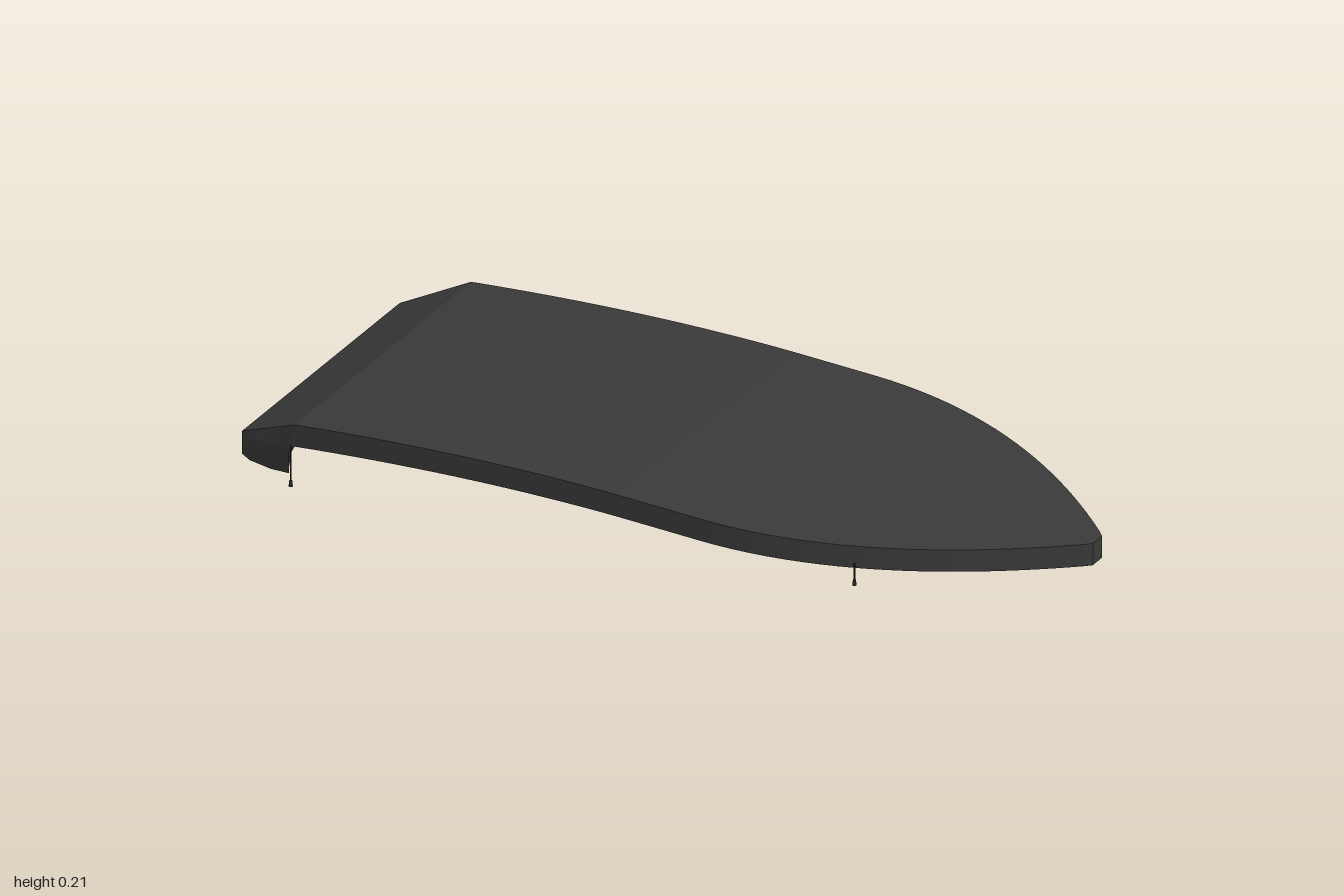
import * as THREE from 'three';

const cover = new THREE.MeshStandardMaterial({ color: 0x3a3a3a, side: THREE.DoubleSide });
cover.name = 'charcoal canvas';
const cord = new THREE.MeshStandardMaterial({ color: 0x262626 });
cord.name = 'dark cord';

const BREAK = -0.84; // where the deck folds down to the stern

// Height of the cover along its length
function topY(x) {
  if (x < BREAK) return 0.075 + 0.08 * (x + 1) / (BREAK + 1);
  return x < 0 ? 0.214 - 0.059 * Math.pow(-x / -BREAK, 1.8) : 0.214 - 0.007 * x * x;
}

// Half width of the cover along its length
function halfWidth(x) {
  if (x < BREAK) return 0.34 + 0.04 * (x + 1) / (BREAK + 1);
  if (x < 0.2) return 0.38;
  if (x <= 0.985) return 0.38 - 0.345 * Math.pow((x - 0.2) / 0.785, 2);
  return 0.035 - (x - 0.985);
}

// Surface between two rows of points
function strip(a, b) {
  const points = [], index = [];
  a.forEach((p, i) => {
    points.push(...p, ...b[i]);
    if (i) {
      const k = 2 * i - 2;
      index.push(k, k + 1, k + 2, k + 1, k + 3, k + 2);
    }
  });
  const g = new THREE.BufferGeometry();
  g.setAttribute('position', new THREE.Float32BufferAttribute(points, 3));
  g.setIndex(index);
  g.computeVertexNormals();
  return g;
}

export function createModel() {
  const group = new THREE.Group();
  const add = (name, geometry, material) => {
    const m = new THREE.Mesh(geometry, material);
    m.name = name;
    group.add(m);
  };

  // Stations along the main deck, closer together toward the bow
  const xs = [];
  for (let i = 0; i <= 20; i++) xs.push(BREAK + (0.2 - BREAK) * i / 20);
  for (let i = 1; i <= 30; i++) xs.push(0.2 + 0.785 * Math.sin(i / 30 * Math.PI / 2));
  xs.push(1);

  const edge = (list, s) => list.map(x => [x, topY(x), s * halfWidth(x)]);
  const lowered = row => row.map(([x, y, z]) => [x, y - 0.055, z]);

  // Top panels
  add('deckCover', strip(edge(xs, -1), edge(xs, 1)), cover);
  add('sternSlope', strip(edge([-1, BREAK], -1), edge([-1, BREAK], 1)), cover);

  // Stern panel
  add('sternPanel', strip([[-1, 0.075, -0.34], [-1, 0.075, 0.34]],
    [[-1, 0.018, -0.34], [-1, 0.018, 0.34]]), cover);

  // Bow end of the skirt
  const tip = [[1, topY(1), 0.02], [1, topY(1), -0.02]];
  add('bowSkirt', strip(tip, lowered(tip)), cover);

  for (const s of [1, -1]) {
    const side = s > 0 ? 'left' : 'right';
    const outward = (a, b) => s > 0 ? strip(a, b) : strip(b, a);

    // Long side skirt
    const row = edge(xs, s);
    add(side + 'Skirt', outward(row, lowered(row)), cover);

    // Corner flap, bulging past the slope in its middle
    const fx = [-1, -0.97, -0.91, -0.863, -0.855, -0.848, BREAK];
    const upper = edge(fx, s);
    const midZ = [0.34, 0.357, 0.369, 0.379, 0.381, 0.381, 0.38];
    const midY = [0.06, 0.072, 0.085, 0.09, 0.092, 0.1, 0.11];
    const lowY = [0.018, 0.018, 0.018, 0.02, 0.04, 0.085, 0.1];
    const middle = fx.map((x, i) => [x, midY[i], s * midZ[i]]);
    const lower = fx.map((x, i) => [x, lowY[i], s * (i > 1 && i < 4 ? 0.367 : midZ[i])]);
    add(side + 'FlapTop', outward(upper, middle), cover);
    add(side + 'FlapBottom', outward(middle, lower), cover);

    // Tie cords with a small toggle at the end
    for (const [name, x, z, top, bottom] of [
      ['BowTie', 0.56, 0.311, 0.17, 0.115],
      ['SternTie', -0.848, 0.384, 0.1, 0],
    ]) {
      const line = new THREE.CylinderGeometry(0.002, 0.002, top - bottom, 6);
      line.translate(x, (top + bottom) / 2, s * z);
      add(side + name + 'Cord', line, cord);
      const toggle = new THREE.CylinderGeometry(0.0035, 0.005, 0.014, 8);
      toggle.translate(x, bottom + 0.007, s * z);
      add(side + name + 'Toggle', toggle, cord);
    }
  }
  return group;
}
